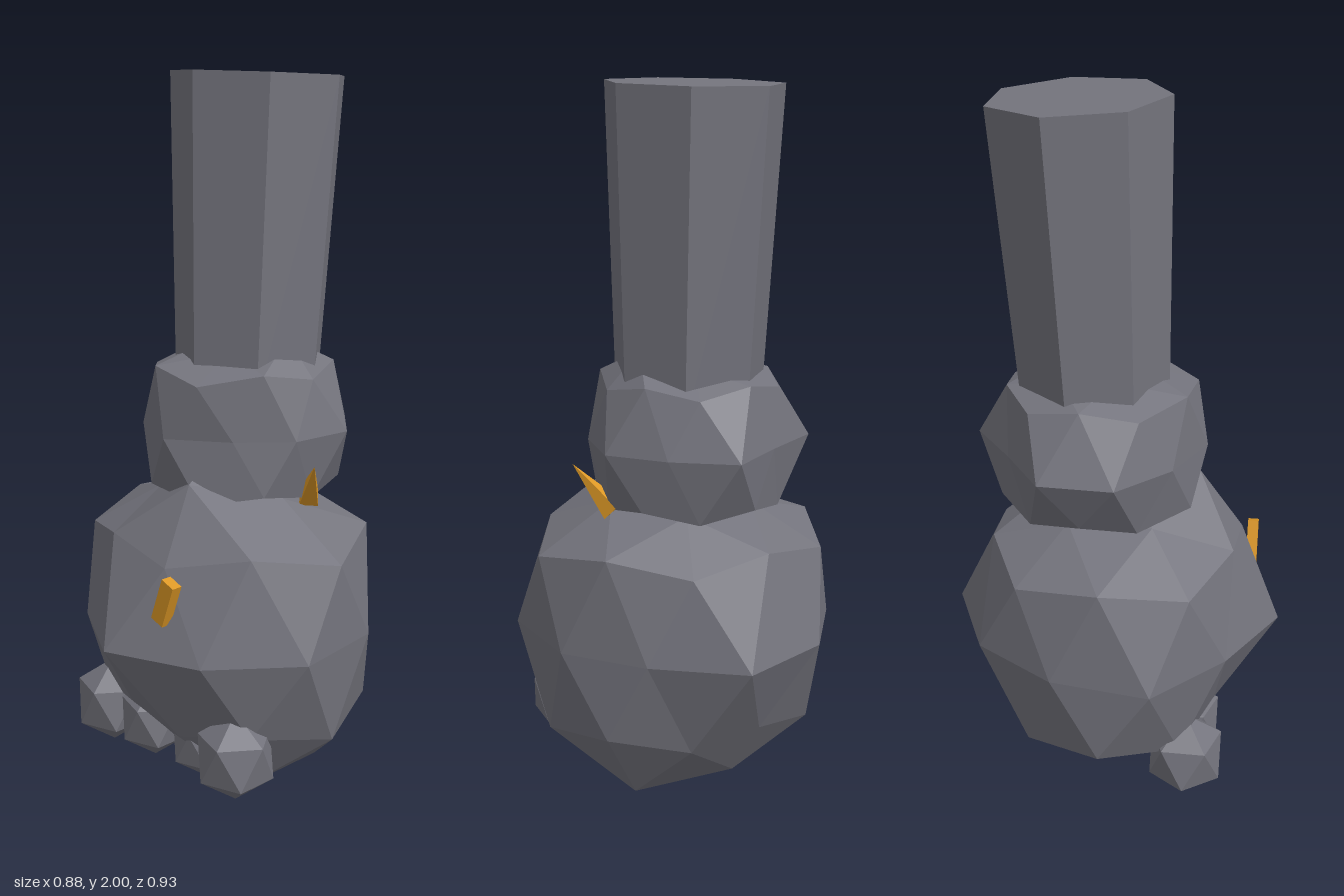
import * as THREE from 'three';

const grey = new THREE.MeshStandardMaterial({ color: 0x74747d, flatShading: true });
grey.name = 'stone grey';
const orange = new THREE.MeshStandardMaterial({ color: 0xdd9826, flatShading: true });
orange.name = 'orange';

// Faceted ball with a vertex at each pole
function facetedBall(detail) {
  const verts = [0, 1, 0];
  const h = 1 / Math.sqrt(5), r = 2 * h;
  for (let ring = 0; ring < 2; ring++) {
    for (let k = 0; k < 5; k++) {
      const a = (k + ring / 2) * Math.PI * 0.4;
      verts.push(r * Math.cos(a), ring ? -h : h, r * Math.sin(a));
    }
  }
  verts.push(0, -1, 0);
  const faces = [];
  for (let k = 0; k < 5; k++) {
    const n = (k + 1) % 5;
    const u = 1 + k, un = 1 + n, l = 6 + k, ln = 6 + n;
    faces.push(0, un, u, u, un, l, l, un, ln, 11, l, ln);
  }
  return new THREE.PolyhedronGeometry(verts, faces, 1, detail);
}

// Dent a ball: factors for its waist ring and the rings around each pole,
// plus a rule for the girth of the shoulders in between
function dentedBall({ waist, topCap, bottomCap, shoulder }) {
  const geometry = facetedBall(1);
  const p = geometry.attributes.position;
  const v = new THREE.Vector3();
  for (let i = 0; i < p.count; i++) {
    v.fromBufferAttribute(p, i);
    const az = THREE.MathUtils.radToDeg(Math.atan2(v.z, v.x)) + 360;
    const pick = (list, start) => list[Math.round((az - start) / (360 / list.length)) % list.length];
    if (Math.abs(v.y) < 0.05) {
      v.multiplyScalar(pick(waist, 18));
    } else if (Math.abs(v.y) < 0.7) {
      const s = shoulder(v);
      v.x *= s;
      v.z *= s;
    } else if (Math.abs(v.y) < 0.95) {
      v.multiplyScalar(v.y > 0 ? pick(topCap, 0) : pick(bottomCap, 36));
    }
    p.setXYZ(i, v.x, v.y, v.z);
  }
  geometry.computeVertexNormals();
  return geometry;
}

function add(group, name, geometry, material, x, y, z) {
  const mesh = new THREE.Mesh(geometry, material);
  mesh.name = name;
  mesh.position.set(x, y, z);
  group.add(mesh);
  return mesh;
}

export function createModel() {
  const model = new THREE.Group();
  model.name = 'figure';

  // Body, flattened at front and back
  const body = dentedBall({
    waist: [0.99, 0.96, 1, 0.88, 1, 0.91, 0.94, 1, 0.84, 0.91],
    topCap: [0.83, 0.96, 0.8, 0.8, 0.8],
    bottomCap: [1, 0.8, 0.82, 0.9, 1],
    shoulder: ({ y, z }) => 1 - (y > 0 ? 0.17 : z > 0 ? 0.36 : 0.3) * z * z,
  });
  body.scale(0.465, 0.52, 0.465);
  add(model, 'body', body, grey, 0, 0.52, 0);

  // Head, squashed above and below, fuller at the front
  const head = dentedBall({
    waist: [0.87, 0.82, 1, 0.93, 1.04, 1.02, 0.8, 1, 0.85, 0.93],
    topCap: [0.87, 0.74, 0.74, 0.74, 0.74],
    bottomCap: [0.64, 0.64, 0.7, 0.7, 0.64],
    shoulder: ({ x, y, z }) => 1 - (y > 0 ? 0.2 : 0.16) * x * x + (z > 0 ? 0.08 : y > 0 ? -0.2 : -0.13) * z * z,
  });
  head.scale(0.318, 0.335, 0.318);
  add(model, 'head', head, grey, 0, 1.06, -0.07);

  // Tall seven-sided hat, leaning back a little
  const hat = add(model, 'hat', new THREE.CylinderGeometry(0.239, 0.203, 0.84, 7), grey, 0.004, 1.57, -0.081);
  hat.rotation.x = -0.045;

  // Toes along the lower front, the inner two smaller
  const toes = [[-0.26, 0.215, 0.228, 1], [-0.09, 0.215, 0.215, 0.92], [0.09, 0.2, 0.19, 0.85], [0.262, 0.233, 0.235, 1]];
  for (const [x, y, z, size] of toes) {
    const toe = facetedBall(0);
    toe.scale(0.115 * size, 0.128 * size, 0.115 * size);
    add(model, 'toe', toe, grey, x, y, z);
  }

  // Slanted chest button
  const button = add(model, 'chestButton', new THREE.BoxGeometry(0.045, 0.125, 0.03), orange, 0.152, 0.68, 0.377);
  button.rotation.z = -0.36;

  // Spike pointing up and out beside the neck
  const base = new THREE.Vector3(0.225, 0.88, -0.075);
  const tip = new THREE.Vector3(0.314, 1, 0);
  const direction = tip.clone().sub(base);
  const spike = add(model, 'spike', new THREE.ConeGeometry(0.036, direction.length(), 4), orange,
    ...base.clone().add(tip).multiplyScalar(0.5).toArray());
  spike.quaternion.setFromUnitVectors(new THREE.Vector3(0, 1, 0), direction.normalize());

  return model;
}
